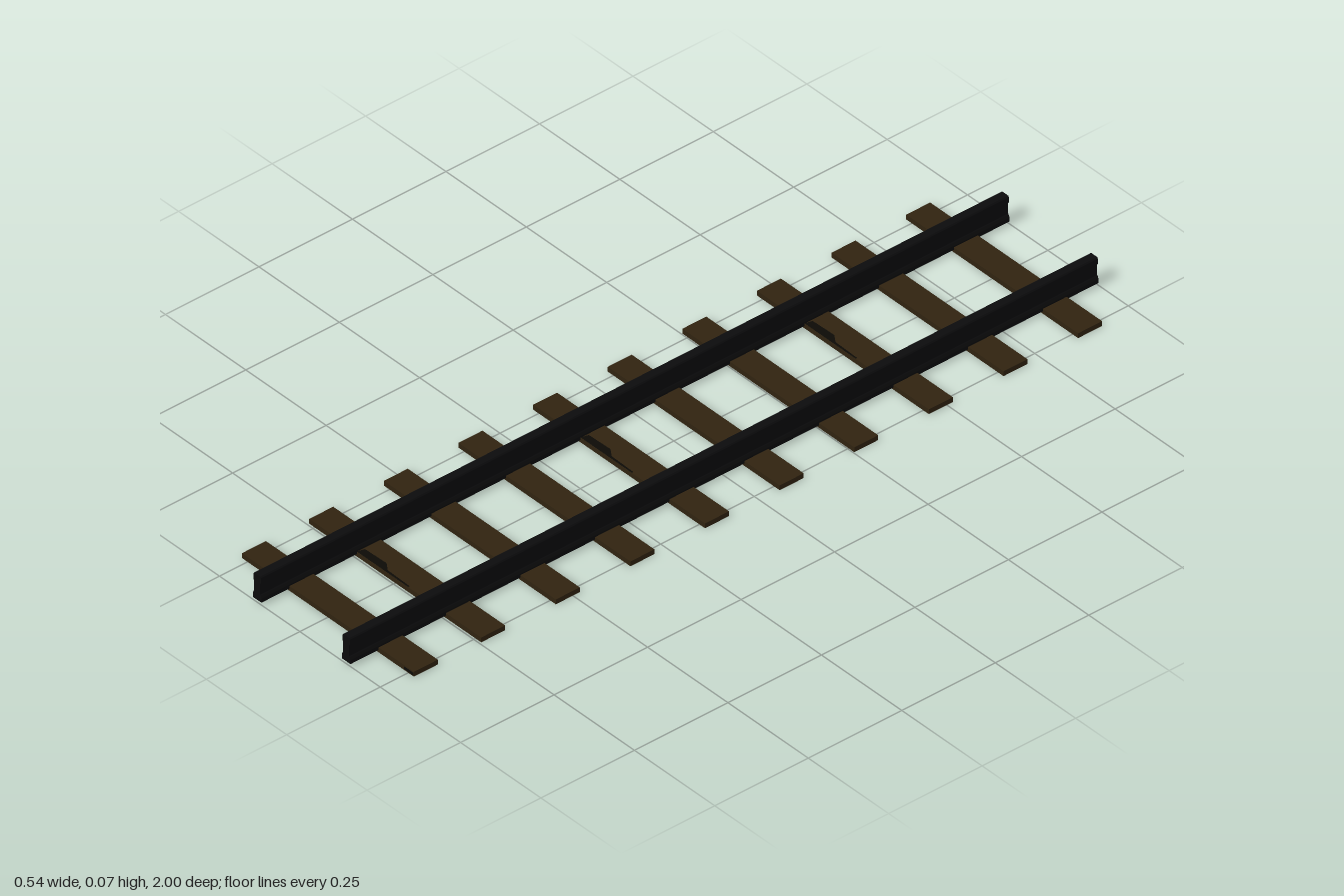
import * as THREE from 'three';

export function createModel() {
  const model = new THREE.Group();
  const wood = new THREE.MeshStandardMaterial({ name: 'darkWood', color: 0x302310 });
  const steel = new THREE.MeshStandardMaterial({ name: 'blackSteel', color: 0x0b0b0c });
  const stain = new THREE.MeshStandardMaterial({ name: 'darkStain', color: 0x0c0a06 });

  const add = (name, geometry, material, x, y, z) => {
    const mesh = new THREE.Mesh(geometry, material);
    mesh.name = name;
    mesh.position.set(x, y, z);
    model.add(mesh);
    return mesh;
  };

  // Rails: one half of the section (foot, web, head), mirrored and extruded
  const half = [
    [0.0135, 0.006], [0.0135, 0.016], [0.011, 0.022], [0.0095, 0.024],
    [0.0095, 0.05], [0.0115, 0.053], [0.0115, 0.066], [0.0095, 0.069],
  ];
  const outline = [...half, ...half.map(([x, y]) => [-x, y]).reverse()];
  const section = new THREE.Shape(outline.map(([x, y]) => new THREE.Vector2(x, y)));
  const railGeometry = new THREE.ExtrudeGeometry(section, { depth: 2, bevelEnabled: false });
  add('rightRail', railGeometry, steel, -0.133, 0, -1);
  add('leftRail', railGeometry, steel, 0.144, 0, -1);

  // Sleepers: even spacing, with the front one set slightly closer
  const sleeperGeometry = new THREE.BoxGeometry(0.535, 0.012, 0.064);

  // Worn dark patch along the front edge of every third sleeper
  const patch = new THREE.Shape();
  patch.moveTo(-0.12, 0);
  patch.lineTo(-0.115, 0.018);
  patch.lineTo(-0.05, 0.02);
  patch.lineTo(-0.03, 0.006);
  patch.lineTo(0.04, 0.004);
  patch.lineTo(0.04, 0);
  const patchGeometry = new THREE.ShapeGeometry(patch).rotateX(-Math.PI / 2);

  for (let i = 0; i < 10; i++) {
    const z = i === 9 ? 0.893 : -0.883 + i * 0.1995;
    add('sleeper' + (i + 1), sleeperGeometry, wood, 0, 0.006, z);
    if (i % 3 === 2) add('wornPatch' + (i + 1), patchGeometry, stain, 0, 0.0125, z + 0.032);
  }

  // Dark mark on the end of the front sleeper
  add('endMark', new THREE.PlaneGeometry(0.03, 0.007), stain, 0.252, 0.006, 0.9255);

  return model;
}
